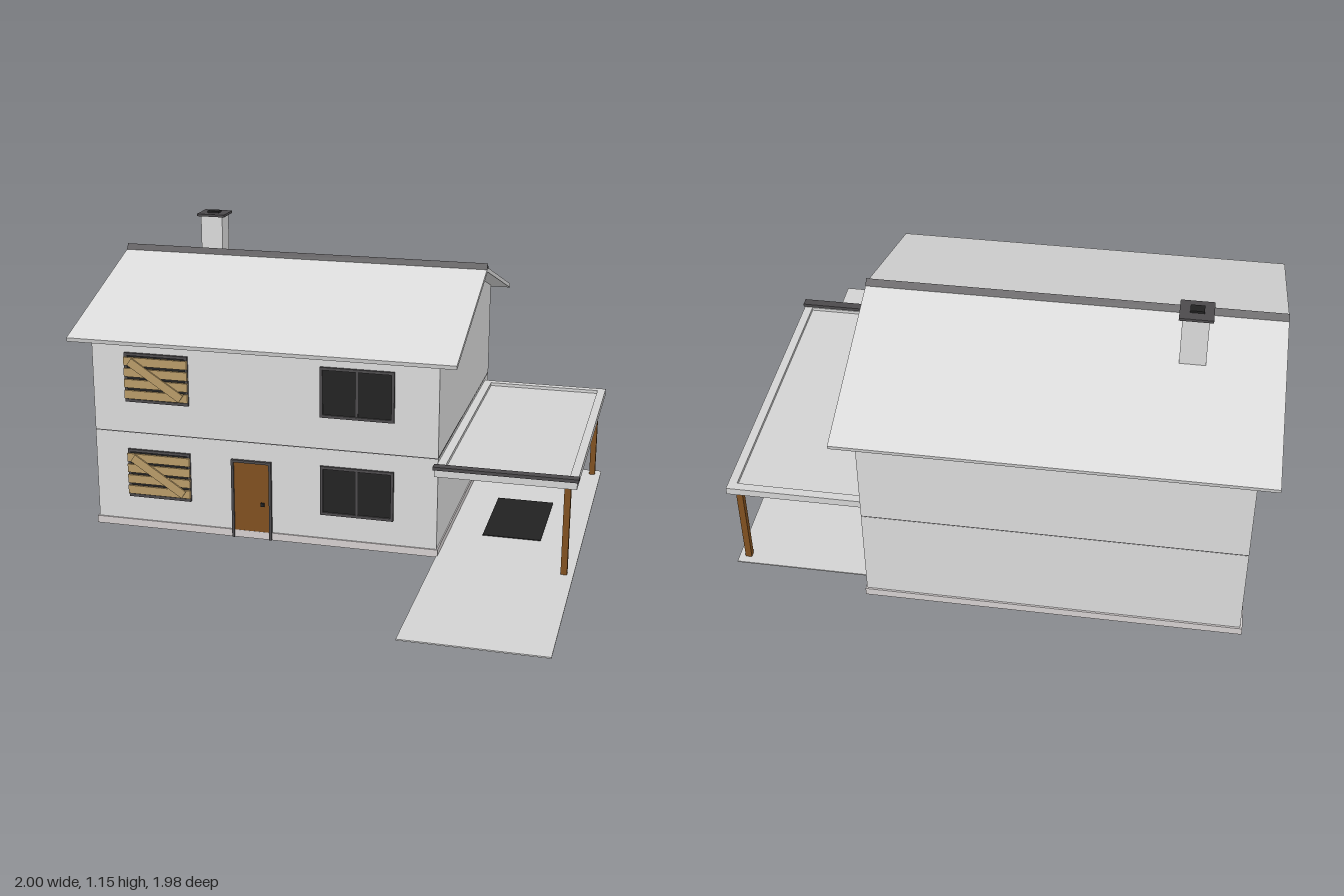
import * as THREE from 'three';

const mat = (name, color) => {
  const m = new THREE.MeshStandardMaterial({ color });
  m.name = name;
  return m;
};

export function createModel() {
  const house = new THREE.Group();
  house.name = 'house';
  const wall = mat('wall grey', 0xdadada);
  const roofMat = mat('roof grey', 0xd9d9d9);
  const concrete = mat('concrete', 0xd3d3d3);
  const plinthMat = mat('plinth grey', 0xd4cfcf);
  const trim = mat('dark trim', 0x4c4a4c);
  const black = mat('black glass', 0x222222);
  const doorMat = mat('door brown', 0x80501f);
  const plankMat = mat('plank tan', 0xb89b68);

  // Box given by its low and high limits on each axis
  const box = (parent, name, m, x0, x1, y0, y1, z0, z1) => {
    const mesh = new THREE.Mesh(new THREE.BoxGeometry(x1 - x0, y1 - y0, z1 - z0), m);
    mesh.position.set((x0 + x1) / 2, (y0 + y1) / 2, (z0 + z1) / 2);
    mesh.name = name;
    parent.add(mesh);
    return mesh;
  };

  // Prism along x from a [z, y] outline
  const prism = (name, m, outline, x0, x1) => {
    const shape = new THREE.Shape(outline.map(([z, y]) => new THREE.Vector2(-z, y)));
    const geo = new THREE.ExtrudeGeometry(shape, { depth: x1 - x0, bevelEnabled: false });
    geo.rotateY(Math.PI / 2);
    geo.translate(x0, 0, 0);
    const mesh = new THREE.Mesh(geo, m);
    mesh.name = name;
    house.add(mesh);
  };

  // Two storeys with a thin seam, standing on a plinth
  box(house, 'plinth', plinthMat, -0.935, 0.465, 0, 0.03, -0.922, 0.266);
  box(house, 'lowerStorey', wall, -0.927, 0.46, 0.03, 0.397, -0.915, 0.26);
  box(house, 'storeySeam', trim, -0.926, 0.459, 0.397, 0.401, -0.914, 0.259);
  box(house, 'upperStorey', wall, -0.927, 0.46, 0.401, 0.797, -0.915, 0.26);

  // Gable, roof and ridge
  prism('gable', wall, [[0.26, 0.797], [-0.328, 0.992], [-0.915, 0.797]], -0.927, 0.46);
  prism('roof', roofMat, [
    [0.332, 0.79], [-0.328, 1.01], [-0.99, 0.79],
    [-0.986, 0.774], [-0.328, 0.992], [0.328, 0.774],
  ], -1, 0.535);
  prism('ridgeCap', trim, [
    [-0.308, 1.0], [-0.328, 1.027], [-0.348, 1.0], [-0.328, 1.006],
  ], -1, 0.535);

  // Chimney
  const chimney = new THREE.Group();
  chimney.name = 'chimney';
  house.add(chimney);
  box(chimney, 'chimneyStack', wall, -0.72, -0.626, 0.9, 1.132, -0.55, -0.465);
  box(chimney, 'chimneyCap', trim, -0.734, -0.614, 1.132, 1.142, -0.565, -0.455);
  box(chimney, 'chimneyFlue', black, -0.7, -0.65, 1.142, 1.15, -0.527, -0.49);

  // Window: dark glass inside a frame of four bars
  const window = (name, x0, x1, y0, y1) => {
    const g = new THREE.Group();
    g.name = name;
    house.add(g);
    const t = 0.011;
    box(g, 'glass', black, x0 + t, x1 - t, y0 + t, y1 - t, 0.258, 0.264);
    box(g, 'frameLeft', trim, x0, x0 + t, y0, y1, 0.255, 0.27);
    box(g, 'frameRight', trim, x1 - t, x1, y0, y1, 0.255, 0.27);
    box(g, 'frameTop', trim, x0 + t, x1 - t, y1 - t, y1, 0.255, 0.27);
    box(g, 'frameBottom', trim, x0 + t, x1 - t, y0, y0 + t, 0.255, 0.27);
    return g;
  };

  for (const [floor, y] of [['lower', 0.13], ['upper', 0.528]]) {
    // Open window with a centre bar
    const open = window(floor + 'Window', 0, 0.29, y, y + 0.2);
    box(open, 'mullion', trim, 0.141, 0.149, y + 0.011, y + 0.189, 0.258, 0.268);

    // Window boarded up with four planks and a diagonal one
    const boarded = window(floor + 'BoardedWindow', -0.79, -0.53, y, y + 0.2);
    for (let i = 0; i < 4; i++) {
      const py = y + 0.015 + i * 0.045;
      box(boarded, 'plank', plankMat, -0.79, -0.53, py, py + 0.034, 0.27, 0.278);
    }
    const brace = box(boarded, 'diagonalPlank', plankMat, -0.785, -0.535, y + 0.083, y + 0.117, 0.278, 0.285);
    brace.rotation.z = -0.58;
  }

  // Front door
  const door = new THREE.Group();
  door.name = 'frontDoor';
  house.add(door);
  box(door, 'doorPanel', doorMat, -0.35, -0.207, 0.03, 0.315, 0.255, 0.265);
  box(door, 'doorFrameLeft', trim, -0.36, -0.35, 0, 0.325, 0.255, 0.272);
  box(door, 'doorFrameRight', trim, -0.207, -0.197, 0, 0.325, 0.255, 0.272);
  box(door, 'doorFrameTop', trim, -0.35, -0.207, 0.315, 0.325, 0.255, 0.272);
  box(door, 'doorKnob', black, -0.24, -0.226, 0.14, 0.154, 0.265, 0.275);

  // Driveway with a dark patch
  box(house, 'driveway', concrete, 0.46, 0.99, 0, 0.005, -0.83, 0.985);
  box(house, 'drivewayPatch', black, 0.6, 0.83, 0.005, 0.008, -0.39, 0.02);

  // Carport roof: a tray with a raised rim and a dark front board
  const carport = new THREE.Group();
  carport.name = 'carport';
  house.add(carport);
  box(carport, 'carportDeck', concrete, 0.46, 0.99, 0.357, 0.372, -0.83, 0.342);
  box(carport, 'rimRight', concrete, 0.957, 0.99, 0.372, 0.385, -0.83, 0.342);
  box(carport, 'rimLeft', concrete, 0.46, 0.493, 0.372, 0.385, -0.83, 0.342);
  box(carport, 'rimBack', concrete, 0.493, 0.957, 0.372, 0.385, -0.83, -0.797);
  box(carport, 'rimFront', concrete, 0.493, 0.957, 0.372, 0.385, 0.309, 0.342);
  box(carport, 'frontBoard', trim, 0.455, 0.996, 0.385, 0.398, 0.312, 0.348);
  for (const z of [0.304, -0.788]) {
    box(carport, 'carportPost', doorMat, 0.942, 0.966, 0.005, 0.357, z - 0.012, z + 0.012);
  }

  return house;
}
